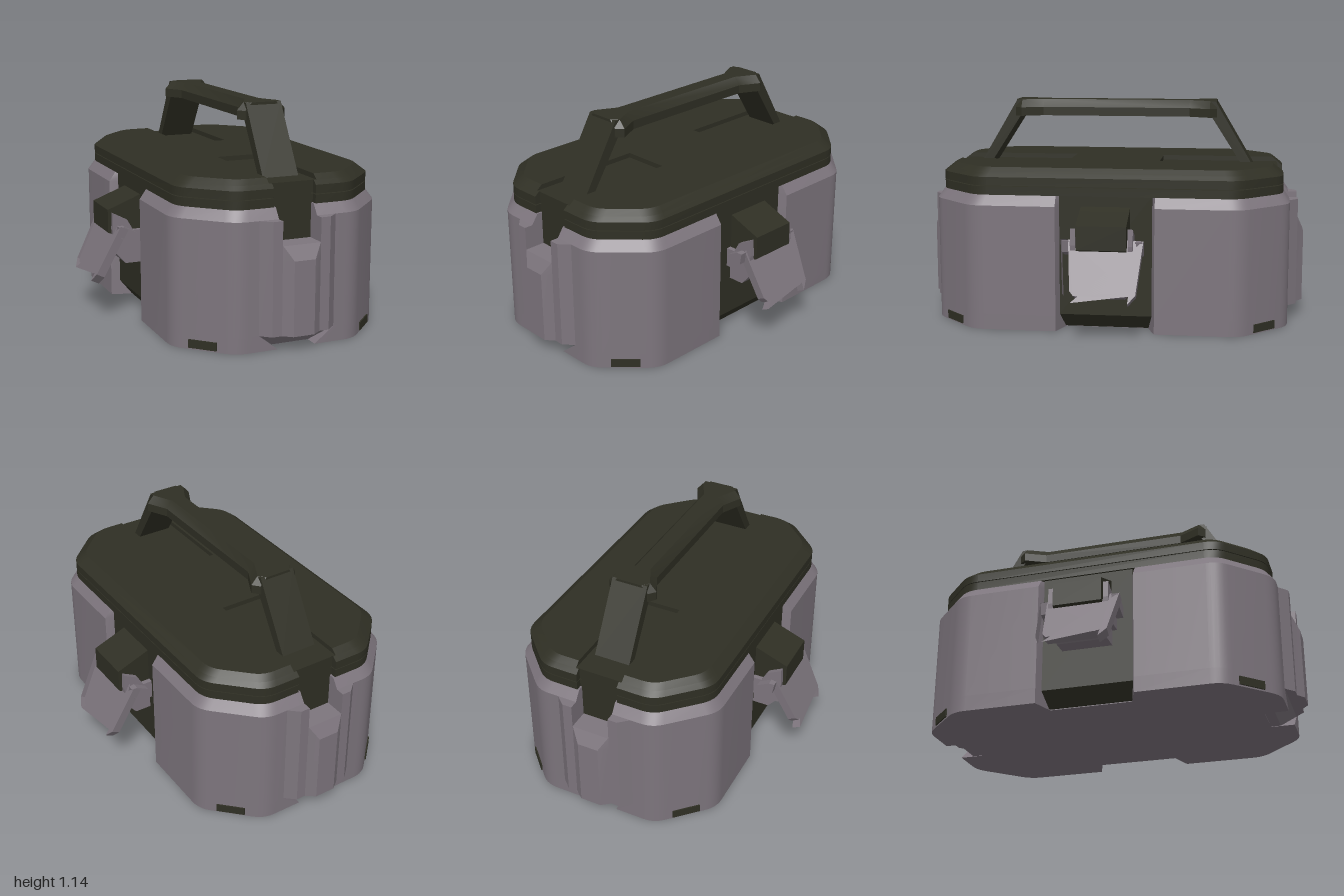
import * as THREE from 'three';
import { toCreasedNormals } from 'three/addons/utils/BufferGeometryUtils.js';

const shellGrey = new THREE.MeshStandardMaterial({ color: 0x7d757d });
shellGrey.name = 'shell grey';
const darkOlive = new THREE.MeshStandardMaterial({ color: 0x2f2f24 });
darkOlive.name = 'dark olive';

function add(parent, name, geometry, material) {
  const mesh = new THREE.Mesh(geometry, material);
  mesh.name = name;
  parent.add(mesh);
  return mesh;
}

function box(x0, x1, y0, y1, z0, z1) {
  return new THREE.BoxGeometry(x1 - x0, y1 - y0, z1 - z0)
    .translate((x0 + x1) / 2, (y0 + y1) / 2, (z0 + z1) / 2);
}

// Joins stacked [y, [[x, z], ...]] cross-sections and caps both ends
function loft(rows) {
  const pos = [];
  const put = (row, i) => pos.push(row[1][i][0], row[0], row[1][i][1]);
  for (let r = 0; r < rows.length - 1; r++) {
    const lo = rows[r], hi = rows[r + 1], n = lo[1].length;
    for (let i = 0; i < n; i++) {
      const j = (i + 1) % n;
      put(lo, i); put(hi, i); put(lo, j);
      put(lo, j); put(hi, i); put(hi, j);
    }
  }
  [rows[0], rows[rows.length - 1]].forEach((row, top) => {
    const flat = row[1].map(p => new THREE.Vector2(p[0], p[1]));
    for (const t of THREE.ShapeUtils.triangulateShape(flat, [])) {
      (top ? [t[0], t[2], t[1]] : t).forEach(i => put(row, i));
    }
  });
  const geo = new THREE.BufferGeometry();
  geo.setAttribute('position', new THREE.Float32BufferAttribute(pos, 3));
  return toCreasedNormals(geo, 0.45);
}

// Extrudes an [x, y] outline along z, centred
function slab(points, depth) {
  const shape = new THREE.Shape(points.map(p => new THREE.Vector2(p[0], p[1])));
  return new THREE.ExtrudeGeometry(shape, { depth, bevelEnabled: false }).translate(0, 0, -depth / 2);
}

// Rounded, chamfered plan with notches at both ends and optional side recesses
function plan(inset, notchHalf, notchZ, sideRecess) {
  const hx = 0.555 - inset, hz = 0.92 - inset, sum = 1.235 - 1.414 * inset;
  const quarter = sideRecess ? [[0.44, 0.21], [hx, 0.25]] : [];
  const round = (a, c, b) => {
    for (let i = 0; i <= 5; i++) {
      const t = i / 5, u = 1 - t;
      quarter.push([0, 1].map(k => u * u * a[k] + 2 * u * t * c[k] + t * t * b[k]));
    }
  };
  const az = sum - hx, bx = sum - hz, r = 0.06, d = r * 0.707;
  round([hx, az - r], [hx, az], [hx - d, az + d]);
  round([bx + d, hz - d], [bx, hz], [bx - r, hz]);
  quarter.push([notchHalf, hz], [notchHalf, notchZ]);
  const flip = (sx, sz) => quarter.map(p => [p[0] * sx, p[1] * sz]);
  return [...flip(1, 1), ...flip(-1, 1).reverse(), ...flip(-1, -1), ...flip(1, -1).reverse()];
}

const rect = (hx, z0, z1) => [[hx, z0], [hx, z1], [-hx, z1], [-hx, z0]];

// Ribbed column and dark channel on one end
function makeEnd() {
  const end = new THREE.Group();
  end.name = 'endColumn';
  add(end, 'channelBack', box(-0.1, 0.1, 0.45, 0.8, 0.75, 0.857), darkOlive);
  add(end, 'bottomSlope', loft([[0.002, rect(0.1, 0.75, 0.85)], [0.08, rect(0.2, 0.75, 0.92)]]), shellGrey);
  const bar = (w, z) => [[0.1, 0.78], [0.1, 0.965], [w, z], [-w, z], [-0.1, 0.965], [-0.1, 0.78]];
  add(end, 'centreBar', loft([[0.08, bar(0.055, 1)], [0.45, bar(0.055, 1)], [0.52, bar(0.098, 0.966)]]), shellGrey);
  for (const s of [1, -1]) {
    let rail = [[0.1, 0.82], [0.2, 0.82], [0.2, 0.92], [0.15, 0.965], [0.1, 0.965]];
    if (s < 0) rail = rail.map(p => [-p[0], p[1]]).reverse();
    add(end, 'rail', loft([[0.08, rail], [0.64, rail]]), shellGrey);
  }
  return end;
}

// Latch block, bracket and swinging bail on one side
function makeLatch() {
  const latch = new THREE.Group();
  latch.name = 'sideLatch';
  add(latch, 'latchBlock', slab([[0.48, 0.41], [0.6, 0.41], [0.685, 0.45], [0.685, 0.57], [0.555, 0.62], [0.48, 0.65]], 0.25), darkOlive);
  add(latch, 'latchBase', slab([[0.48, 0.28], [0.595, 0.28], [0.665, 0.36], [0.665, 0.43], [0.48, 0.43]], 0.26), shellGrey);
  for (const s of [1, -1]) {
    add(latch, 'bracketCheek', slab([[0.5, 0.36], [0.66, 0.36], [0.67, 0.47], [0.665, 0.555], [0.59, 0.515], [0.56, 0.46], [0.5, 0.46]], 0.026), shellGrey)
      .position.z = s * 0.142;
    add(latch, 'bailLink', slab([[0.555, 0.4], [0.64, 0.43], [0.65, 0.49], [0.62, 0.49], [0.555, 0.455]], 0.036), shellGrey)
      .position.z = s * 0.182;
  }
  const half = [[0.205, 0.32], [0.178, 0.045], [0.14, 0]];
  const inner = [[0.125, 0.035], [0.145, 0.06], [0.168, 0.32]];
  const mirror = a => a.map(p => [-p[0], p[1]]).reverse();
  const bail = slab([...mirror(half).reverse(), ...mirror(mirror(half)), ...mirror(inner).map(p => [-p[0], p[1]]), ...inner.map(p => [-p[0], p[1]])], 0.045);
  bail.rotateY(Math.PI / 2).rotateZ(0.47).translate(0.767, 0.2, 0);
  add(latch, 'bail', bail, shellGrey);
  return latch;
}

export function createModel() {
  const model = new THREE.Group();
  model.name = 'carryCase';

  // Lower shell with bevelled top edge
  add(model, 'shell', loft([
    [0, plan(0, 0.1, 0.8, true)],
    [0.08, plan(0, 0.2, 0.8, true)],
    [0.08, plan(0, 0.1, 0.8, true)],
    [0.64, plan(0, 0.1, 0.8, true)],
    [0.69, plan(0.035, 0.1, 0.8, true)],
  ]), shellGrey);
  const core = x => rect(x, -0.235, 0.235);
  add(model, 'sidePanels', loft([[0.004, core(0.45)], [0.08, core(0.51)], [0.695, core(0.51)]]), darkOlive);

  // Lid in two halves with a fine seam, and grooves along the top
  add(model, 'lidRim', loft([[0.69, plan(0.035, 0.11, 0.855)], [0.733, plan(0.035, 0.11, 0.855)]]), darkOlive);
  add(model, 'lid', loft([
    [0.737, plan(0.035, 0.11, 0.855)],
    [0.78, plan(0.035, 0.11, 0.855)],
    [0.8, plan(0.059, 0.11, 0.855)],
  ]), darkOlive);
  add(model, 'lidTop', loft([[0.8, plan(0.059, 0.125, 0.24)], [0.825, plan(0.09, 0.125, 0.24)]]), darkOlive);

  // Grip with flared ends and bevelled top
  const section = w => [[-w, -1.055], [-w, -1.1], [-w + 0.035, -1.14], [w - 0.035, -1.14], [w, -1.1], [w, -1.055]];
  const stations = [[0.535, 0.1], [0.5, 0.13], [0.39, 0.075]];
  const gripRows = [...stations.map(([z, w]) => [-z, section(w)]), ...stations.slice().reverse().map(([z, w]) => [z, section(w)])];
  add(model, 'grip', loft(gripRows).rotateX(Math.PI / 2), darkOlive);

  for (const turn of [0, Math.PI]) {
    const end = makeEnd();
    // Sloping handle leg
    const leg = slab([[-0.73, 0.798], [-0.675, 0.798], [-0.5, 1.07], [-0.5, 1.139], [-0.528, 1.139]], 0.19).rotateY(Math.PI / 2);
    add(end, 'handleLeg', leg, darkOlive);
    end.rotation.y = turn;
    model.add(end);
    const latch = makeLatch();
    latch.rotation.y = turn;
    model.add(latch);
  }

  // Dark foot plates on the chamfered corners
  for (const sx of [1, -1]) {
    for (const sz of [1, -1]) {
      const foot = add(model, 'footPlate', new THREE.BoxGeometry(0.145, 0.042, 0.009), darkOlive);
      foot.position.set(sx * 0.439, 0.029, sz * 0.799);
      foot.rotation.y = sx * sz * Math.PI / 4;
    }
  }
  return model;
}
